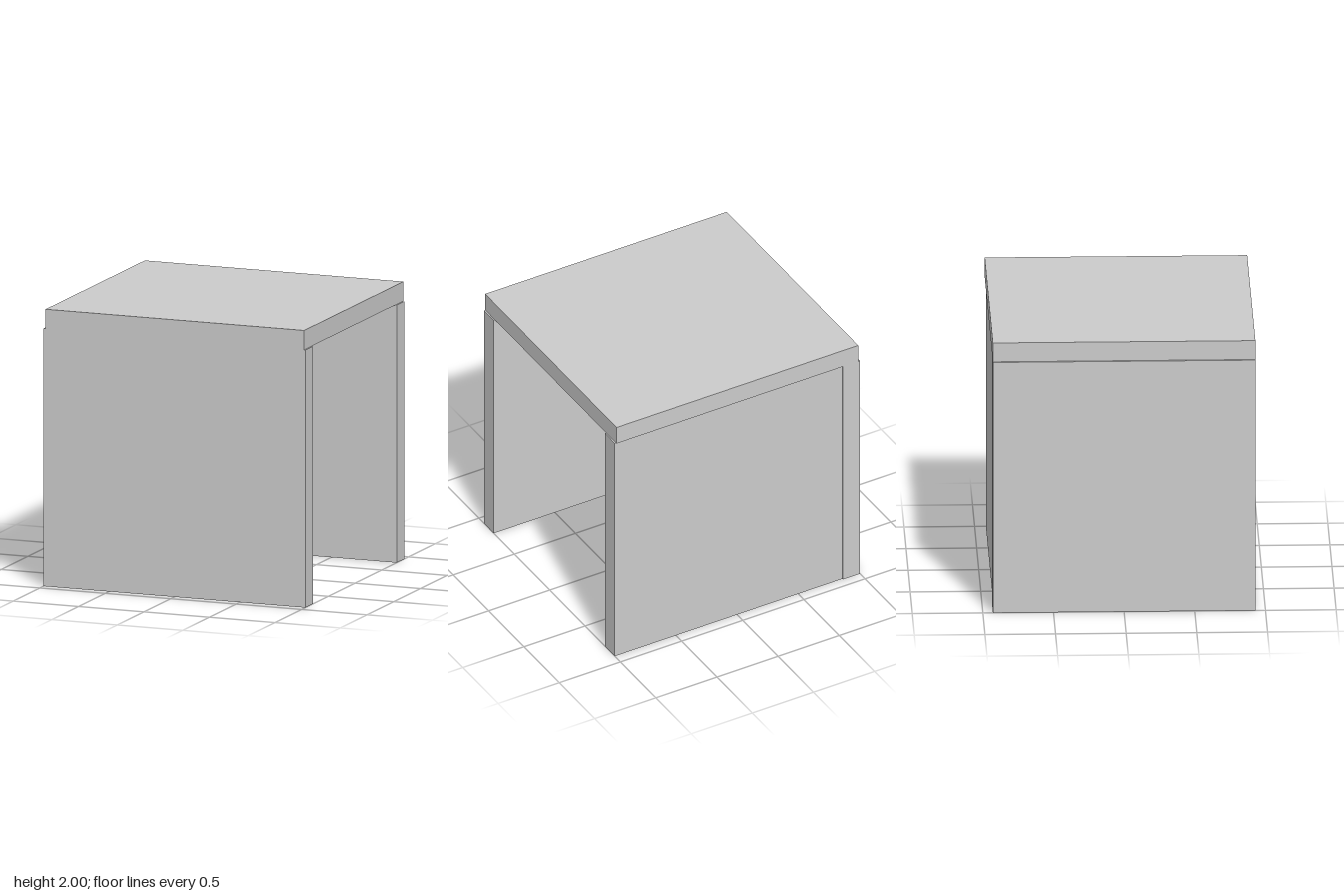
import * as THREE from 'three';

export function createModel() {
  const model = new THREE.Group();
  const material = new THREE.MeshStandardMaterial({ color: 0xcccccc, flatShading: true });

  // Adds a flat board spanning the given limits on each axis
  function board(name, [x0, x1], [y0, y1], [z0, z1]) {
    const mesh = new THREE.Mesh(new THREE.BoxGeometry(x1 - x0, y1 - y0, z1 - z0), material);
    mesh.position.set((x0 + x1) / 2, (y0 + y1) / 2, (z0 + z1) / 2);
    mesh.name = name;
    model.add(mesh);
  }

  const height = [0, 1.86];

  // Top board, set in slightly from the closed side
  board('topPanel', [-0.985, 0.99], [1.86, 2], [-0.929, 0.929]);

  // Closed side; the opposite side and the underside stay open
  board('sidePanel', [-1, -0.86], height, [-0.929, 0.929]);

  // Front and back walls butt against the closed side
  board('frontPanel', [-0.86, 1], height, [0.79, 0.929]);
  board('backPanel', [-0.86, 1], height, [-0.92, -0.78]);

  return model;
}
